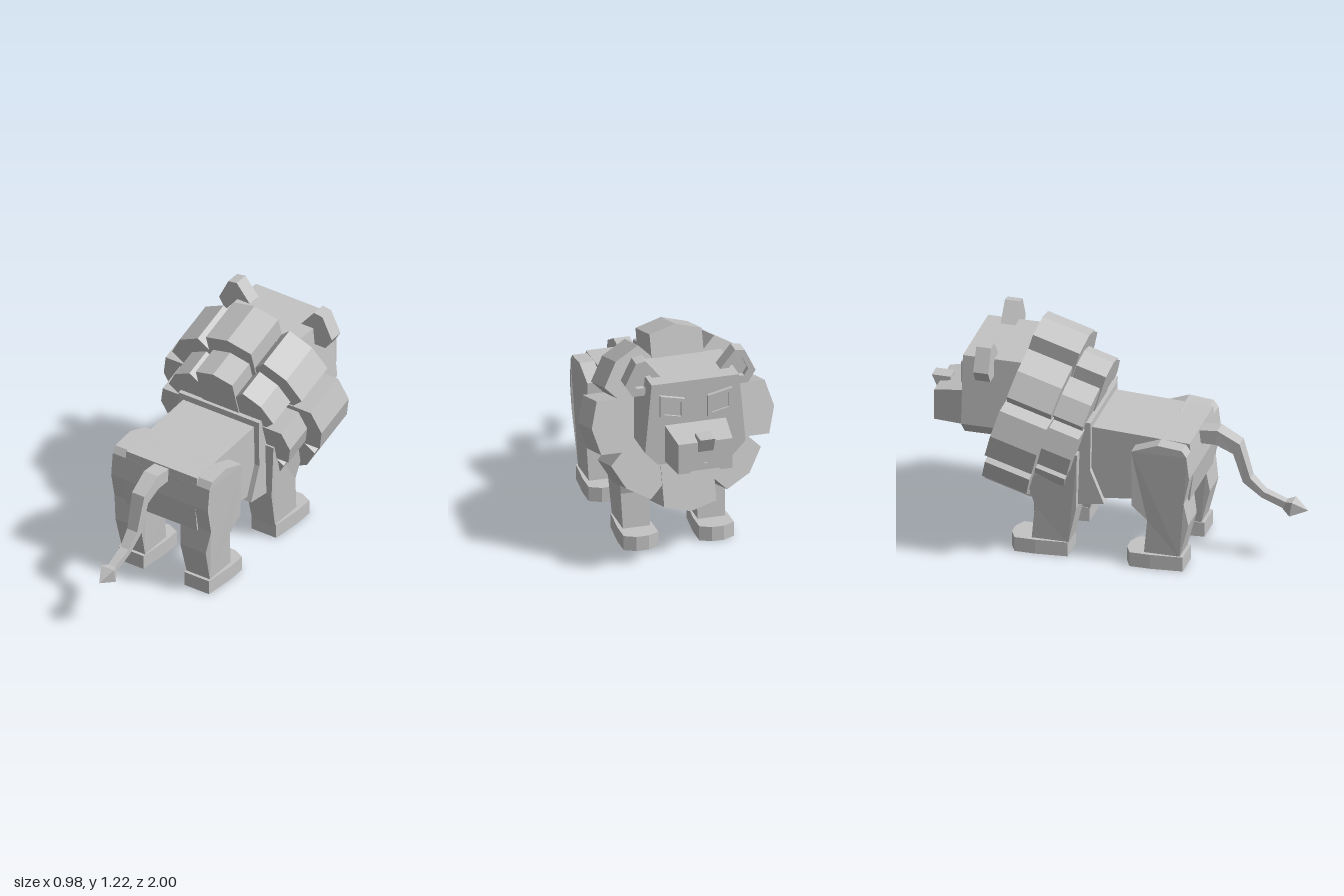
import * as THREE from 'three';

const grey = new THREE.MeshStandardMaterial({ color: 0xc4c4c4 });
grey.name = 'stone grey';

const flat = (geo) => {
  const g = geo.index ? geo.toNonIndexed() : geo;
  g.computeVertexNormals();
  return g;
};

const toShape = (pts) => new THREE.Shape(pts.map(([x, y]) => new THREE.Vector2(x, y)));

// Front outline [x, y], carried from z0 to z1, with an optional hole
function extrudeZ(pts, z0, z1, hole) {
  const shape = toShape(pts);
  if (hole) shape.holes.push(toShape(hole));
  return new THREE.ExtrudeGeometry(shape, { depth: z1 - z0, bevelEnabled: false }).translate(0, 0, z0);
}

// Side outline [z, y], carried from x0 to x1
function extrudeX(pts, x0, x1) {
  return extrudeZ(pts.map(([z, y]) => [-z, y]), x0, x1).rotateY(Math.PI / 2);
}

// Ground outline [x, z], carried from y0 to y1
function extrudeY(pts, y0, y1) {
  return extrudeZ(pts.map(([x, z]) => [x, -z]), y0, y1).rotateX(-Math.PI / 2);
}

// Move every vertex by a rule
function warp(geo, rule) {
  const p = geo.attributes.position;
  const v = new THREE.Vector3();
  for (let i = 0; i < p.count; i++) {
    rule(v.fromBufferAttribute(p, i));
    p.setXYZ(i, v.x, v.y, v.z);
  }
  return geo;
}

// Copy to the other side, turning the triangles round
function mirrored(geo) {
  const g = geo.clone();
  g.scale(-1, 1, 1);
  const a = g.attributes.position;
  for (let i = 0; i < a.count; i += 3) {
    const b = [a.getX(i + 1), a.getY(i + 1), a.getZ(i + 1)];
    a.setXYZ(i + 1, a.getX(i + 2), a.getY(i + 2), a.getZ(i + 2));
    a.setXYZ(i + 2, ...b);
  }
  return g;
}

// Join rectangular rings [top z, top y, bottom z, bottom y, half width], running toward +z
function loft(rings) {
  const pos = [], idx = [];
  for (const [tz, ty, bz, by, w] of rings) pos.push(-w, ty, tz, w, ty, tz, w, by, bz, -w, by, bz);
  for (let r = 0; r < rings.length - 1; r++) {
    for (let k = 0; k < 4; k++) {
      const a = r * 4 + k, b = r * 4 + (k + 1) % 4;
      idx.push(a, a + 4, b, b, a + 4, b + 4);
    }
  }
  const e = (rings.length - 1) * 4;
  idx.push(0, 1, 2, 0, 2, 3, e, e + 2, e + 1, e, e + 3, e + 2);
  const g = new THREE.BufferGeometry();
  g.setAttribute('position', new THREE.Float32BufferAttribute(pos, 3));
  g.setIndex(idx);
  return g;
}

export function createModel() {
  const model = new THREE.Group();
  model.name = 'lion';
  const add = (name, geo) => {
    const m = new THREE.Mesh(flat(geo), grey);
    m.name = name;
    model.add(m);
  };
  const addPair = (name, geo) => {
    add(name + 'Left', geo);
    add(name + 'Right', mirrored(geo));
  };

  // Body and chest
  add('body', extrudeX([[0.43, 0.71], [0.45, 0.545], [0.43, 0.385], [-0.02, 0.335], [-0.2, 0.33], [-0.2, 0.735], [-0.09, 0.735]], -0.22, 0.22));
  add('chest', extrudeX([[-0.09, 0.77], [-0.095, 0.5], [-0.02, 0.315], [-0.165, 0.295], [-0.38, 0.29], [-0.42, 0.77]], -0.25, 0.25));

  // Legs, slimmer below the knee
  const slimLeg = (v) => {
    if (v.y < 0.4) {
      const t = Math.min(1, (0.4 - v.y) / 0.13);
      v.x += (v.x > 0.2 ? -0.02 : 0.012) * t;
    }
    if (v.y < 0.2) v.x += v.x > 0.2 ? -0.007 : 0.007;
  };
  addPair('hindLeg', warp(extrudeX([[0.41, 0.705], [0.28, 0.718], [0.14, 0.665], [0.14, 0.35], [0.22, 0.27],
    [0.2, 0.07], [0.39, 0.07], [0.44, 0.27], [0.42, 0.4], [0.45, 0.545], [0.435, 0.67]], 0.11, 0.3), slimLeg));
  addPair('frontLeg', warp(extrudeX([[-0.15, 0.6], [-0.16, 0.28], [-0.205, 0.07], [-0.4, 0.07], [-0.38, 0.27],
    [-0.42, 0.42], [-0.4, 0.6]], 0.11, 0.3), slimLeg));

  // Paws with cut front corners
  for (const [name, back] of [['hindPaw', 0.41], ['frontPaw', -0.205]]) {
    addPair(name, extrudeY([[0.127, back], [0.28, back], [0.296, back - 0.17], [0.296, back - 0.28],
      [0.235, back - 0.31], [0.17, back - 0.31], [0.11, back - 0.28], [0.11, back - 0.17]], 0, 0.08));
  }

  // Mane: two tilted rings of peaked blocks, the diagonal ones a little smaller
  const tilt = 0.291;
  const maneRing = (name, y, z, depth, radius, half, inner, skipBottom) => {
    for (let i = 0; i < 8; i++) {
      if (skipBottom && i === 4) continue;
      const diagonal = i % 2;
      const peak = radius - 0.022 * diagonal;
      const shoulder = radius * 0.92 - 0.022 * diagonal;
      const d = depth / 2 - 0.006 * diagonal;
      const block = extrudeZ([[-half, inner], [half, inner], [half, shoulder], [0, peak], [-half, shoulder]], -d, d);
      block.rotateZ(i * Math.PI / 4).rotateX(tilt).translate(0, y, z);
      add(name + (i + 1), block);
    }
  };
  maneRing('frontManeBlock', 0.71, -0.435, 0.26, 0.49, 0.14, 0.18, false);
  maneRing('backManeBlock', 0.648, -0.24, 0.18, 0.4, 0.113, 0.12, true);

  // Head, muzzle and jaw
  add('head', extrudeZ([[-0.235, 1.06], [-0.27, 0.68], [-0.2, 0.605], [0.2, 0.605], [0.27, 0.68], [0.235, 1.06]], -0.778, -0.4));
  add('muzzle', warp(extrudeZ([[-0.165, 0.825], [-0.165, 0.622], [-0.1, 0.622], [0, 0.675], [0.1, 0.622], [0.165, 0.622], [0.165, 0.825]], -0.957, -0.77), (v) => {
    if (v.z < -0.9) {
      v.x *= 0.88;
      if (v.y > 0.8) v.y = 0.79;
    }
  }));
  add('jaw', new THREE.BoxGeometry(0.18, 0.035, 0.16).translate(0, 0.637, -0.85));
  add('nose', extrudeX([[-0.9, 0.82], [-1, 0.82], [-0.965, 0.74], [-0.9, 0.74]], -0.04, 0.04));

  // Slanted eye frames with sunken eyes
  const eyeOutline = (s) => [[-1, -1], [1, -1], [1, 1], [-1, 1]].map(([u, v]) =>
    [0.128 + u * 0.066 * s, 0.925 + v * 0.06 * s + u * 0.015 * s]);
  addPair('eyeFrame', extrudeZ(eyeOutline(1), -0.8, -0.77, eyeOutline(0.7)));
  addPair('eye', extrudeZ(eyeOutline(0.72), -0.788, -0.77));

  // Hollow ears
  const ear = [[0.23, 0.965], [0.31, 0.965], [0.35, 1.03], [0.292, 1.15], [0.24, 1.158], [0.16, 1.06]];
  const earHole = ear.map(([x, y]) => [0.262 + (x - 0.262) * 0.55, 1.058 + (y - 1.058) * 0.55]);
  addPair('earRim', extrudeZ(ear, -0.69, -0.61, earHole));
  addPair('earBack', extrudeZ(earHole, -0.66, -0.61));

  // Tail and its pointed tuft
  add('tail', loft([[0.4, 0.7, 0.4, 0.63, 0.045], [0.527, 0.711, 0.52, 0.63, 0.043], [0.645, 0.647, 0.61, 0.588, 0.038],
    [0.7, 0.455, 0.66, 0.428, 0.031], [0.77, 0.385, 0.757, 0.353, 0.026], [0.92, 0.328, 0.905, 0.29, 0.02]]));
  add('tailTuft', loft([[0.88, 0.34, 0.87, 0.3, 0.02], [0.925, 0.35, 0.91, 0.27, 0.04], [1, 0.299, 1, 0.297, 0.001]]));

  return model;
}
